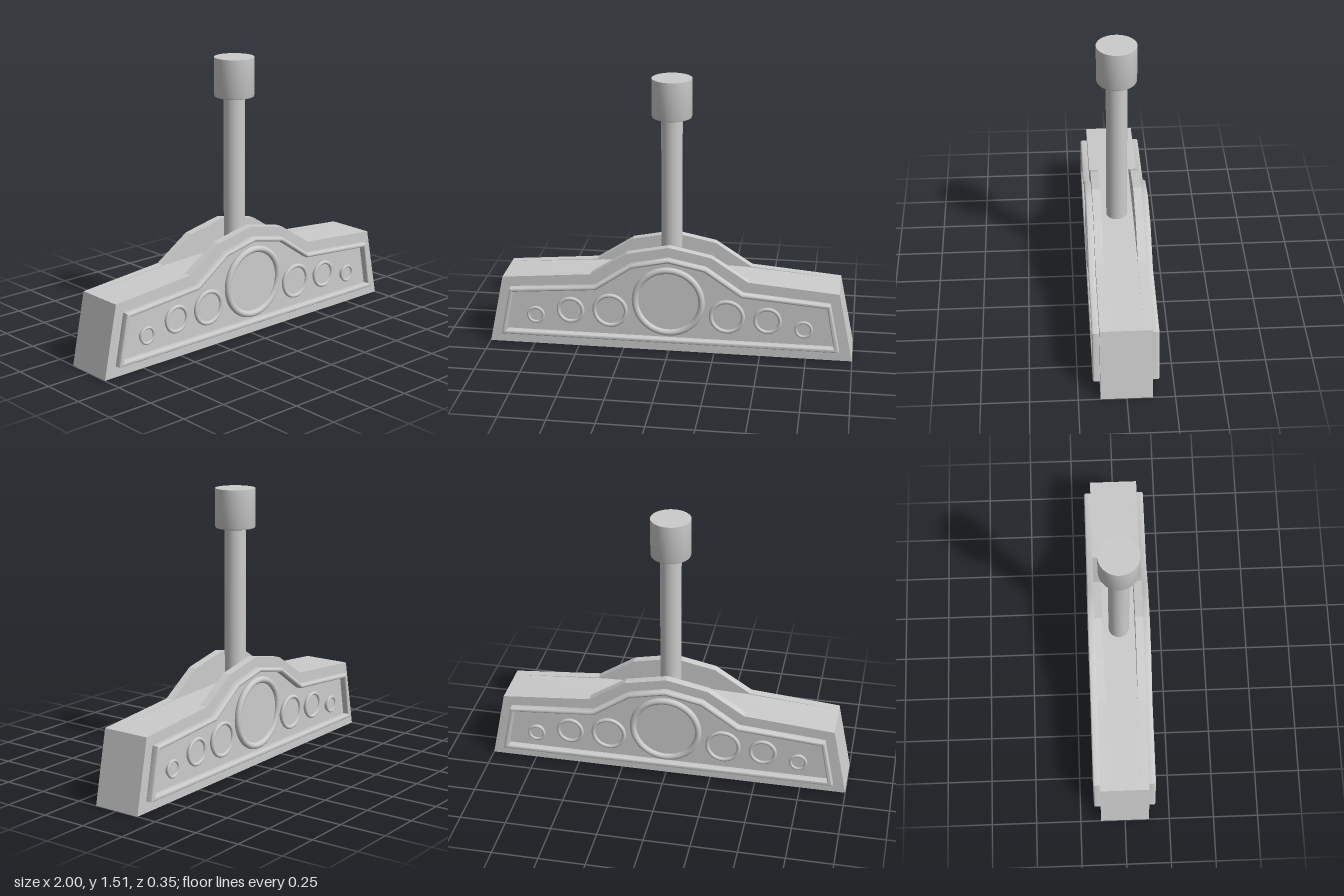
import * as THREE from 'three';
import { toCreasedNormals } from 'three/addons/utils/BufferGeometryUtils.js';

const material = new THREE.MeshStandardMaterial({ color: 0xcccccc });

function add(parent, name, geometry, x = 0, y = 0, z = 0) {
  const mesh = new THREE.Mesh(geometry, material);
  mesh.name = name;
  mesh.position.set(x, y, z);
  parent.add(mesh);
  return mesh;
}

// Closed outline from its right half, listed from the bottom up to the centre line
function mirrored(half) {
  const left = half.filter(([x]) => x > 0).reverse().map(([x, y]) => [-x, y]);
  return [...half, ...left].map(([x, y]) => new THREE.Vector2(x, y));
}

const BODY = [[1, 0], [0.92, 0.388], [0.43, 0.43], [0.23, 0.56], [0, 0.607]];
const CORE = [[1, 0], [0.92, 0.388], [0.4, 0.428], [0.3, 0.431], [0.2, 0.435], [0.1, 0.439], [0, 0.44]];
const RIM_OUTER = [[0.93, 0.06], [0.875, 0.335], [0.405, 0.373], [0.205, 0.51], [0, 0.552]];
const RIM_INNER = [[0.9, 0.083], [0.857, 0.314], [0.396, 0.352], [0.195, 0.489], [0, 0.53]];

// x, y, outer radius and tube radius of the round dials
const DIALS = [[0, 0.3, 0.2, 0.018], [0.32, 0.23, 0.098, 0.011], [0.54, 0.22, 0.077, 0.01], [0.735, 0.18, 0.05, 0.008]];
const FACE = 0.135;

function createPanel(name) {
  const panel = new THREE.Group();
  panel.name = name;

  // Raised frame with softened edges
  const shape = new THREE.Shape(mirrored(RIM_OUTER));
  shape.holes.push(new THREE.Path(mirrored(RIM_INNER)));
  const bevel = 0.009;
  const frame = new THREE.ExtrudeGeometry(shape, {
    depth: 0.038 - bevel, bevelThickness: bevel, bevelSize: bevel, bevelOffset: -bevel, bevelSegments: 3,
  });
  add(panel, 'panelFrame', toCreasedNormals(frame, 0.6), 0, 0, FACE);

  // Round dials: a thin disc inside a rounded ring
  for (const [cx, y, outer, tube] of DIALS) {
    for (const x of cx ? [-cx, cx] : [0]) {
      const disc = new THREE.CylinderGeometry(outer - tube, outer - tube, 0.016, 48);
      disc.rotateX(Math.PI / 2);
      add(panel, 'dialFace', disc, x, y, FACE + 0.008);
      const ring = new THREE.TorusGeometry(outer - tube, tube, 12, 56);
      add(panel, 'dialRing', ring, x, y, FACE + 0.017);
    }
  }
  return panel;
}

export function createModel() {
  const model = new THREE.Group();
  model.name = 'pedestalWithPost';

  // Body: a low core between two taller cheek plates
  const extrude = (half, depth) =>
    new THREE.ExtrudeGeometry(new THREE.Shape(mirrored(half)), { depth, bevelEnabled: false });
  add(model, 'bodyCore', toCreasedNormals(extrude(CORE, 0.18), 0.06), 0, 0, -0.09);
  add(model, 'frontCheek', extrude(BODY, 0.045), 0, 0, 0.09);
  add(model, 'backCheek', extrude(BODY, 0.045), 0, 0, -FACE);

  // The same panel on both broad sides
  const back = createPanel('backPanel');
  back.rotation.y = Math.PI;
  model.add(createPanel('frontPanel'), back);

  // Post and its cap, lathed with a small bevel under the cap
  add(model, 'post', new THREE.CylinderGeometry(0.057, 0.057, 0.92, 48), 0, 0.86, 0);
  const profile = [[0, 1.298], [0.098, 1.298], [0.104, 1.3], [0.107, 1.307], [0.107, 1.51], [0, 1.51]];
  const cap = new THREE.LatheGeometry(profile.map(([x, y]) => new THREE.Vector2(x, y)), 48);
  add(model, 'postCap', toCreasedNormals(cap, 0.7));

  return model;
}
